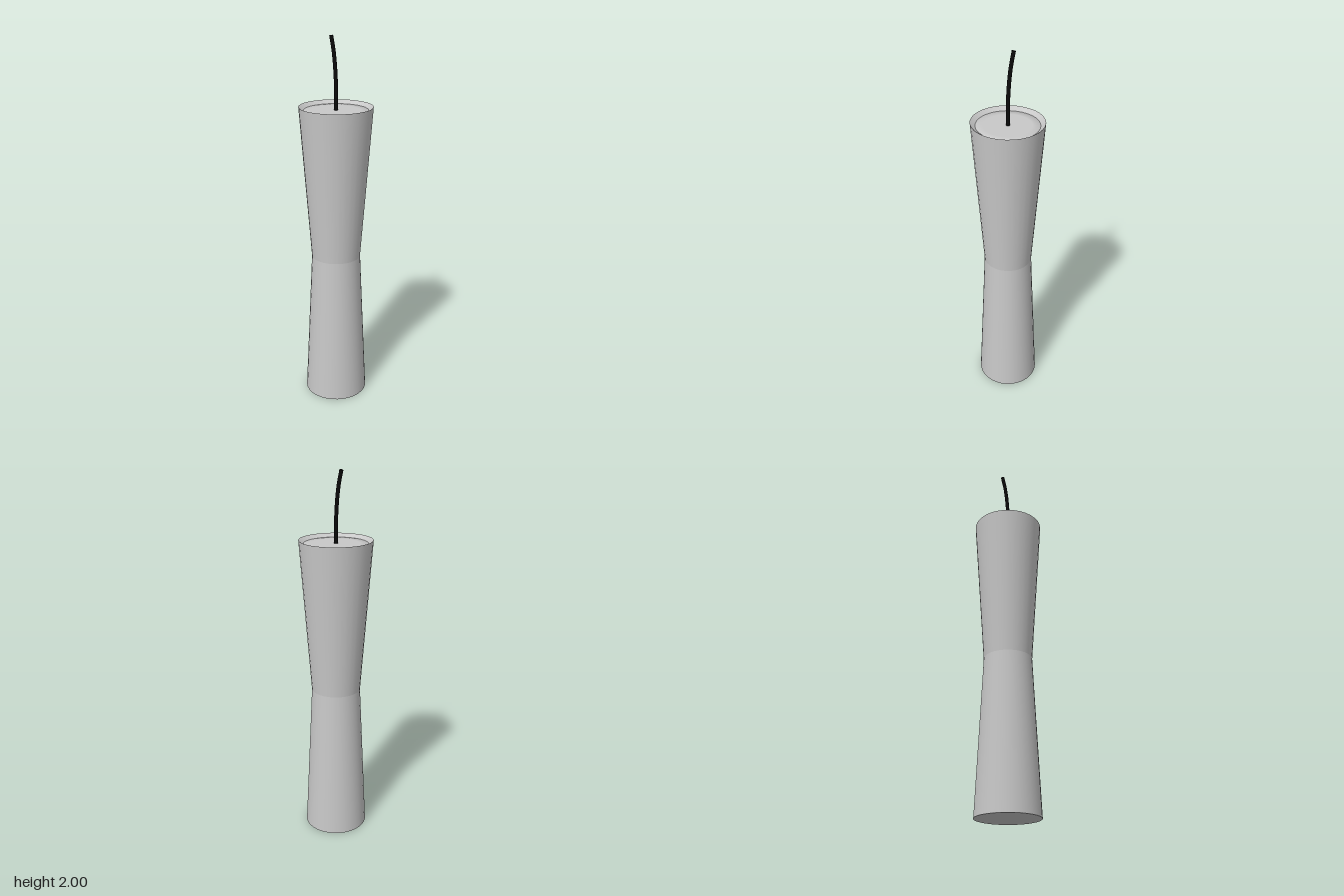
import * as THREE from 'three';

const SIDES = 32;

export function createModel() {
  const model = new THREE.Group();
  model.name = 'pendantLamp';
  const shadeGrey = new THREE.MeshStandardMaterial({ color: 0xc8c8c8, side: THREE.DoubleSide });
  shadeGrey.name = 'shadeGrey';
  const cordBlack = new THREE.MeshStandardMaterial({ color: 0x0a0a0a });
  cordBlack.name = 'cordBlack';

  const shade = new THREE.Group();
  shade.name = 'shade';
  shade.scale.z = 0.975; // slightly oval in plan
  model.add(shade);

  // Each section is turned from a short [radius, height] profile
  const turn = (name, profile) => {
    const points = profile.map(([r, y]) => new THREE.Vector2(r, y));
    const mesh = new THREE.Mesh(new THREE.LatheGeometry(points, SIDES), shadeGrey);
    mesh.name = name;
    shade.add(mesh);
  };
  turn('lowerCone', [[0.172, 0], [0.132, 0.83]]);
  turn('upperCone', [[0.132, 0.83], [0.192, 1.65]]);
  turn('bottomCap', [[0, 0], [0.172, 0], [0.171, 0.02]]);
  turn('rimBevel', [[0.192, 1.65], [0.166, 1.632]]);
  // Recessed lid with a softly shaded edge
  turn('topLid', [[0.166, 1.61], [0.166, 1.632], [0.125, 1.632], [0, 1.632]]);

  // Hanging cord, bending back and to the right
  const path = new THREE.CatmullRomCurve3([
    [0, 1.62, 0], [0, 1.72, 0], [-0.003, 1.82, -0.004], [-0.011, 1.92, -0.015], [-0.023, 1.998, -0.031],
  ].map((p) => new THREE.Vector3(...p)));
  const cord = new THREE.Mesh(new THREE.TubeGeometry(path, 20, 0.01, 12), cordBlack);
  cord.name = 'cord';
  model.add(cord);

  // Flat end of the cord
  const cordEnd = new THREE.Mesh(new THREE.CircleGeometry(0.01, 12), cordBlack);
  cordEnd.name = 'cordEnd';
  cordEnd.position.copy(path.getPointAt(1));
  cordEnd.quaternion.setFromUnitVectors(new THREE.Vector3(0, 0, 1), path.getTangentAt(1));
  model.add(cordEnd);

  return model;
}
